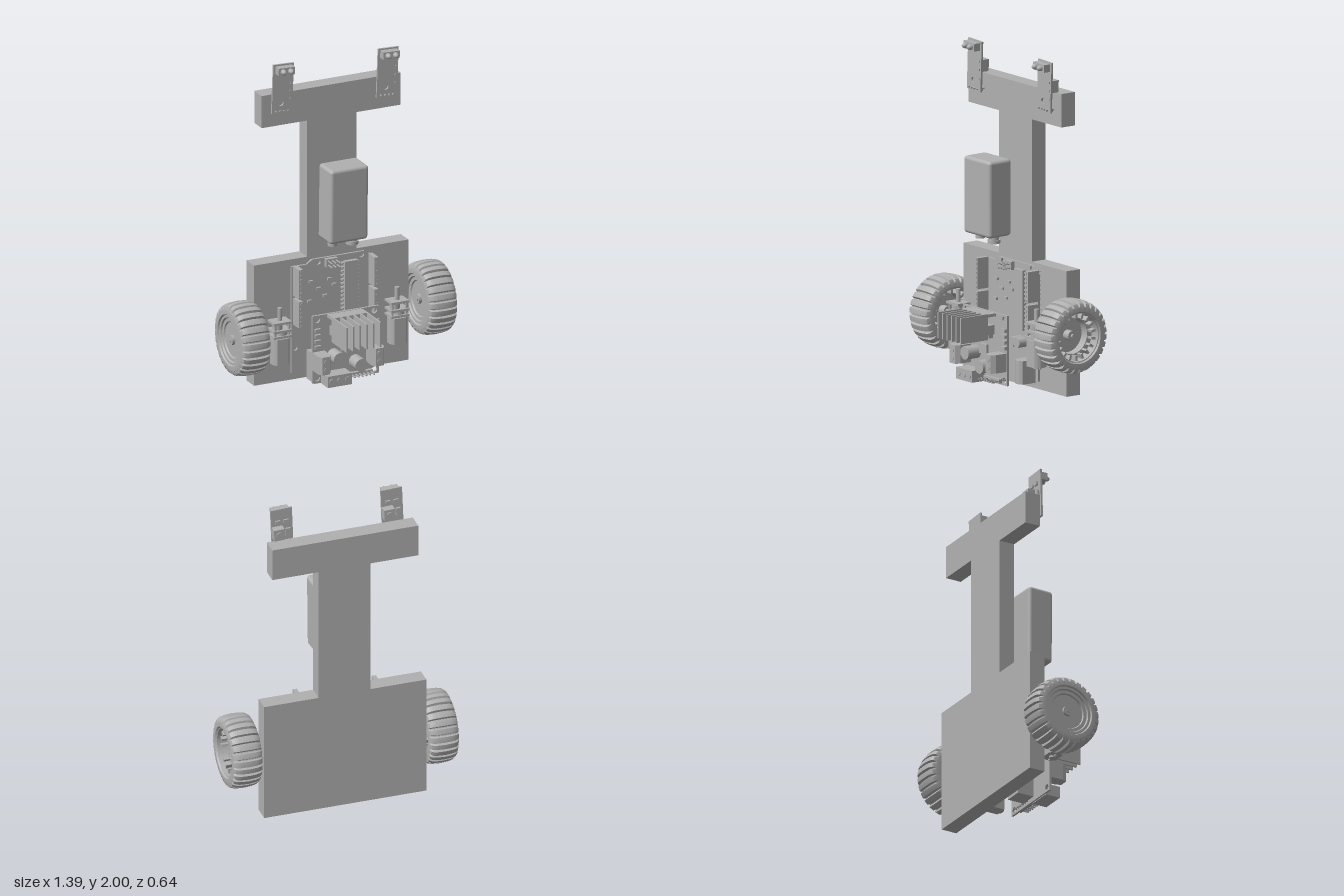
import * as THREE from 'three';
import { toCreasedNormals } from 'three/addons/utils/BufferGeometryUtils.js';
import { RoundedBoxGeometry } from 'three/addons/geometries/RoundedBoxGeometry.js';

const grey = new THREE.MeshStandardMaterial({ color: 0xb0b0b0 });
grey.name = 'grey';

function add(parent, name, geometry, x = 0, y = 0, z = 0) {
  const mesh = new THREE.Mesh(geometry, grey);
  mesh.name = name;
  mesh.position.set(x, y, z);
  parent.add(mesh);
  return mesh;
}
// box given by its limits
function box(parent, name, x0, x1, y0, y1, z0, z1) {
  return add(parent, name, new THREE.BoxGeometry(x1 - x0, y1 - y0, z1 - z0),
    (x0 + x1) / 2, (y0 + y1) / 2, (z0 + z1) / 2);
}
// cylinder along an axis, centred
function rod(parent, name, r, length, axis, x, y, z, sides = 24) {
  const g = new THREE.CylinderGeometry(r, r, length, sides);
  if (axis === 'x') g.rotateZ(-Math.PI / 2);
  if (axis === 'z') g.rotateX(Math.PI / 2);
  return add(parent, name, g, x, y, z);
}
function group(parent, name, x = 0, y = 0, z = 0) {
  const g = new THREE.Group();
  g.name = name;
  g.position.set(x, y, z);
  parent.add(g);
  return g;
}
// flat board from an outline with round holes [x, y, r]
function board(parent, name, outline, holes, z, depth) {
  const shape = new THREE.Shape(outline.map(p => new THREE.Vector2(...p)));
  for (const [x, y, r] of holes) {
    const h = new THREE.Path();
    h.absarc(x, y, r, 0, Math.PI * 2, true);
    shape.holes.push(h);
  }
  return add(parent, name, new THREE.ExtrudeGeometry(shape, { depth, bevelEnabled: false, curveSegments: 10 }), 0, 0, z);
}

// wheel on the x axis: disc side at -x, open side at +x
function wheel(parent, name, x, y, z) {
  const w = group(parent, name, x, y, z);
  const profile = [[0.13, -0.07], [0.135, -0.08], [0.15, -0.08], [0.155, -0.09], [0.185, -0.09],
    [0.203, -0.083], [0.213, -0.068], [0.218, -0.045], [0.221, 0], [0.218, 0.045], [0.213, 0.068],
    [0.203, 0.083], [0.185, 0.09], [0.155, 0.09], [0.148, 0.08], [0.143, 0.08], [0.14, 0.02]];
  const lugs = 28, steps = 8;
  const g = new THREE.LatheGeometry(profile.map(p => new THREE.Vector2(...p)), lugs * steps);
  const p = g.attributes.position;
  for (let k = 0; k < p.count; k++) {   // press the tread grooves in
    const i = Math.floor(k / profile.length);
    const r = Math.hypot(p.getX(k), p.getZ(k));
    if (i % steps < 2 && r > 0.18) {
      const f = (r - (r > 0.2 ? 0.014 : 0.004)) / r;
      p.setXYZ(k, p.getX(k) * f, p.getY(k), p.getZ(k) * f);
    }
  }
  g.rotateZ(-Math.PI / 2);
  add(w, 'tyre', toCreasedNormals(g, 0.5));
  const rim = new THREE.LatheGeometry([[0, -0.062], [0.105, -0.062], [0.11, -0.07], [0.131, -0.07], [0.141, 0.02],
    [0.108, 0.02], [0.105, -0.03], [0, -0.03]].map(q => new THREE.Vector2(...q)), 48);
  rim.rotateZ(-Math.PI / 2);
  add(w, 'rim', toCreasedNormals(rim, 0.5));
  rod(w, 'hub', 0.03, 0.1, 'x', -0.03, 0, 0);
  rod(w, 'axleEnd', 0.012, 0.12, 'x', -0.025, 0, 0, 12);
  for (let i = 0; i < 18; i++) {
    const a = i / 18 * Math.PI * 2;
    const rib = add(w, 'rimRib', new THREE.BoxGeometry(0.04, 0.03, 0.014), 0.04, Math.cos(a) * 0.127, Math.sin(a) * 0.127);
    rib.rotation.x = a;
  }
}

// gear motor with its shaft pointing up
function motor(parent, name, x, y) {
  const m = group(parent, name, x, y, -0.035);
  const s = new THREE.Shape();           // round can with two flats
  s.absarc(0, 0, 0.058, -0.88, 0.88, false);
  s.absarc(0, 0, 0.058, Math.PI - 0.88, Math.PI + 0.88, false);
  const can = new THREE.ExtrudeGeometry(s, { depth: 0.16, bevelEnabled: false });
  can.rotateX(-Math.PI / 2);
  add(m, 'motorCan', toCreasedNormals(can, 0.5));
  rod(m, 'rearBoss', 0.02, 0.014, 'y', 0, -0.005, 0, 16);
  for (const h of [0.165, 0.2, 0.25]) box(m, 'gearPlate', -0.058, 0.058, h, h + 0.014, -0.045, 0.045);
  rod(m, 'gear', 0.038, 0.035, 'y', 0.008, 0.19, 0, 20);
  rod(m, 'gear', 0.03, 0.05, 'y', -0.015, 0.23, 0, 20);
  for (const sx of [-1, 1]) rod(m, 'gearPost', 0.008, 0.09, 'y', sx * 0.045, 0.215, 0.03, 8);
  rod(m, 'shaft', 0.014, 0.085, 'y', 0, 0.3, 0, 12);
  for (const sx of [-1, 1]) box(m, 'motorTab', sx * 0.035 - 0.006, sx * 0.035 + 0.006, -0.012, 0.01, -0.004, 0.004);
}

// small reflective sensor board
function sensor(parent, name, x, y) {
  const s = group(parent, name, x, y, -0.115);
  s.rotation.z = -0.04;
  board(s, 'sensorBoard', [[-0.066, -0.152], [0.066, -0.152], [0.066, 0.152], [-0.066, 0.152]], [[-0.008, -0.09, 0.017]], -0.006, 0.012);
  box(s, 'emitterBlock', -0.053, 0.053, 0.097, 0.143, 0.006, 0.05);
  for (const sx of [-1, 1]) {
    const lens = add(s, 'lens', new THREE.SphereGeometry(0.017, 16, 10), sx * 0.024, 0.12, 0.055);
    lens.scale.z = 1.5;
    box(s, 'chip', sx * 0.025 - 0.015, sx * 0.025 + 0.015, 0.06, 0.08, -0.016, -0.006);
  }
  box(s, 'trimmer', -0.002, 0.064, -0.03, 0.042, -0.052, -0.006);
  rod(s, 'trimmerScrew', 0.02, 0.008, 'z', 0.03, 0.006, -0.054, 16);
  box(s, 'chip', -0.05, -0.02, -0.03, 0.02, -0.018, -0.006);
  for (let i = 0; i < 4; i++) box(s, 'pin', -0.04 + i * 0.026 - 0.004, -0.036 + i * 0.026, -0.142, -0.134, -0.04, 0.018);
  box(s, 'pinStrip', -0.052, 0.052, -0.148, -0.128, -0.024, -0.006);
  for (let i = 0; i < 3; i++) box(s, 'resistor', 0.045, 0.055, -0.075 + i * 0.05, -0.062 + i * 0.05, 0.006, 0.011);
}

function controller(parent) {
  const c = group(parent, 'controllerBoard');
  board(c, 'controllerPlate', [[-0.275, 0.05], [0.245, 0.05], [0.245, 0.69], [0.2, 0.735], [-0.14, 0.735], [-0.175, 0.71], [-0.275, 0.71]],
    [[-0.1, 0.713, 0.016], [0.18, 0.713, 0.016], [-0.25, 0.2, 0.016], [0.232, 0.2, 0.01]], -0.148, 0.013);
  // socket strips with rows of contacts
  for (const [x, y0, y1] of [[-0.25, 0.53, 0.715], [-0.25, 0.35, 0.515], [0.238, 0.53, 0.715], [0.238, 0.33, 0.515]]) {
    box(c, 'socketStrip', x - 0.013, x + 0.013, y0, y1, -0.135, -0.055);
    for (let y = y0 + 0.014; y < y1; y += 0.027) {
      box(c, 'contact', x - 0.006, x + 0.006, y - 0.006, y + 0.006, -0.056, -0.051);
      box(c, 'solderPin', x - 0.004, x + 0.004, y - 0.004, y + 0.004, -0.162, -0.147);
    }
  }
  box(c, 'processor', 0.055, 0.14, 0.34, 0.7, -0.125, -0.1);
  for (let i = 0; i < 14; i++) for (const x of [0.05, 0.145]) {
    box(c, 'processorPin', x - 0.006, x + 0.006, 0.35 + i * 0.0255, 0.36 + i * 0.0255, -0.136, -0.11);
  }
  box(c, 'usbPort', -0.175, -0.06, 0, 0.18, -0.135, -0.03);
  box(c, 'powerJack', 0.14, 0.22, 0.04, 0.18, -0.135, -0.04);
  rod(c, 'jackBarrel', 0.04, 0.14, 'y', 0.18, 0.11, -0.066, 20);
  box(c, 'resetButton', -0.06, 0.015, 0.68, 0.73, -0.135, -0.11);
  for (let i = 0; i < 6; i++) rod(c, 'programPin', 0.005, 0.08, 'z', -0.045 + (i % 3) * 0.025, i < 3 ? 0.692 : 0.717, -0.095, 6);
  for (const x of [0.075, 0.125]) rod(c, 'capacitor', 0.03, 0.07, 'z', x, 0.27, -0.1, 20);
  for (const [x, y] of [[-0.15, 0.6], [-0.1, 0.55], [-0.03, 0.6], [-0.16, 0.48], [-0.06, 0.5], [0, 0.56]]) {
    box(c, 'smallPart', x - 0.013, x + 0.013, y - 0.008, y + 0.008, -0.135, -0.122);
  }
}

function driver(parent) {
  const d = group(parent, 'motorDriver');
  board(d, 'driverBoard', [[-0.23, 0.04], [0.2, 0.04], [0.2, 0.46], [-0.23, 0.46]],
    [[-0.2, 0.432, 0.018], [0.17, 0.432, 0.018], [-0.2, 0.068, 0.018], [0.17, 0.068, 0.018]], 0.045, 0.013);
  // heat sink: back wall and forward fins
  box(d, 'heatSinkWall', -0.135, 0.092, 0.305, 0.46, 0.115, 0.14);
  for (let i = 0; i < 6; i++) {
    const x = -0.135 + i * 0.0434;
    box(d, 'heatSinkFin', x, x + 0.01, 0.305, 0.46, 0.14, 0.315);
  }
  box(d, 'heatSinkTop', -0.135, 0.092, 0.44, 0.458, 0.058, 0.12);
  box(d, 'driverChip', -0.12, 0.075, 0.33, 0.385, 0.058, 0.115);
  for (let i = 0; i < 9; i++) box(d, 'chipLead', -0.107 + i * 0.02, -0.1 + i * 0.02, 0.305, 0.335, 0.05, 0.085);
  // screw terminals with sloped fronts
  const t = new THREE.Shape([[-0.04, 0], [0.04, 0], [0.04, 0.08], [0.025, 0.11], [-0.025, 0.11], [-0.04, 0.08]].map(q => new THREE.Vector2(...q)));
  for (const x of [-0.192, 0.155]) {
    const g = new THREE.ExtrudeGeometry(t, { depth: 0.11, bevelEnabled: false });
    g.rotateX(Math.PI / 2);
    add(d, 'sideTerminal', g, x, 0.235, 0.055);
    for (const y of [0.155, 0.205]) rod(d, 'terminalScrew', 0.015, 0.008, 'z', x, y, 0.165, 14);
  }
  box(d, 'powerTerminal', -0.175, -0.02, 0.035, 0.105, 0.055, 0.15);
  for (let i = 0; i < 3; i++) rod(d, 'terminalScrew', 0.017, 0.008, 'z', -0.148 + i * 0.05, 0.07, 0.151, 14);
  for (const [x, y] of [[-0.095, 0.2], [0.045, 0.14]]) rod(d, 'capacitor', 0.04, 0.09, 'z', x, y, 0.103, 28);
  box(d, 'regulator', -0.05, 0.02, 0.2, 0.26, 0.058, 0.075);
  box(d, 'pinStrip', 0.0, 0.15, 0.05, 0.075, 0.055, 0.08);
  for (let i = 0; i < 6; i++) box(d, 'pin', 0.01 + i * 0.025, 0.018 + i * 0.025, 0.058, 0.066, 0.03, 0.125);
  for (let i = 0; i < 4; i++) for (const x of [-0.2, 0.18]) {
    box(d, 'diode', x - 0.018, x + 0.018, 0.255 + i * 0.035, 0.275 + i * 0.035, 0.058, 0.075);
  }
}

export function createModel() {
  const model = new THREE.Group();
  model.name = 'balancingRobot';

  // frame
  box(model, 'basePlate', -0.507, 0.493, 0, 0.75, -0.255, -0.155);
  box(model, 'column', -0.163, 0.157, 0.75, 1.6, -0.255, -0.155);
  box(model, 'crossbar', -0.457, 0.443, 1.6, 1.8, -0.255, -0.155);

  wheel(model, 'rightWheel', -0.607, 0.333, -0.1);
  wheel(model, 'leftWheel', 0.603, 0.393, -0.1);
  motor(model, 'rightMotor', -0.398, 0.168);
  motor(model, 'leftMotor', 0.362, 0.175);
  sensor(model, 'rightSensor', -0.342, 1.845);
  sensor(model, 'leftSensor', 0.337, 1.835);
  controller(model);
  driver(model);

  // battery pack with two plugs underneath
  const pack = group(model, 'batteryPack', -0.02, 1.14, 0.037);
  pack.rotation.set(0.008, 0.025, -0.008);
  add(pack, 'batteryCase', new RoundedBoxGeometry(0.25, 0.46, 0.165, 3, 0.02));
  rod(pack, 'smallPlug', 0.028, 0.05, 'y', -0.07, -0.24, 0);
  rod(pack, 'largePlug', 0.03, 0.05, 'y', 0.06, -0.24, 0);
  rod(pack, 'largePlugCap', 0.038, 0.022, 'y', 0.06, -0.263, 0);
  return model;
}
